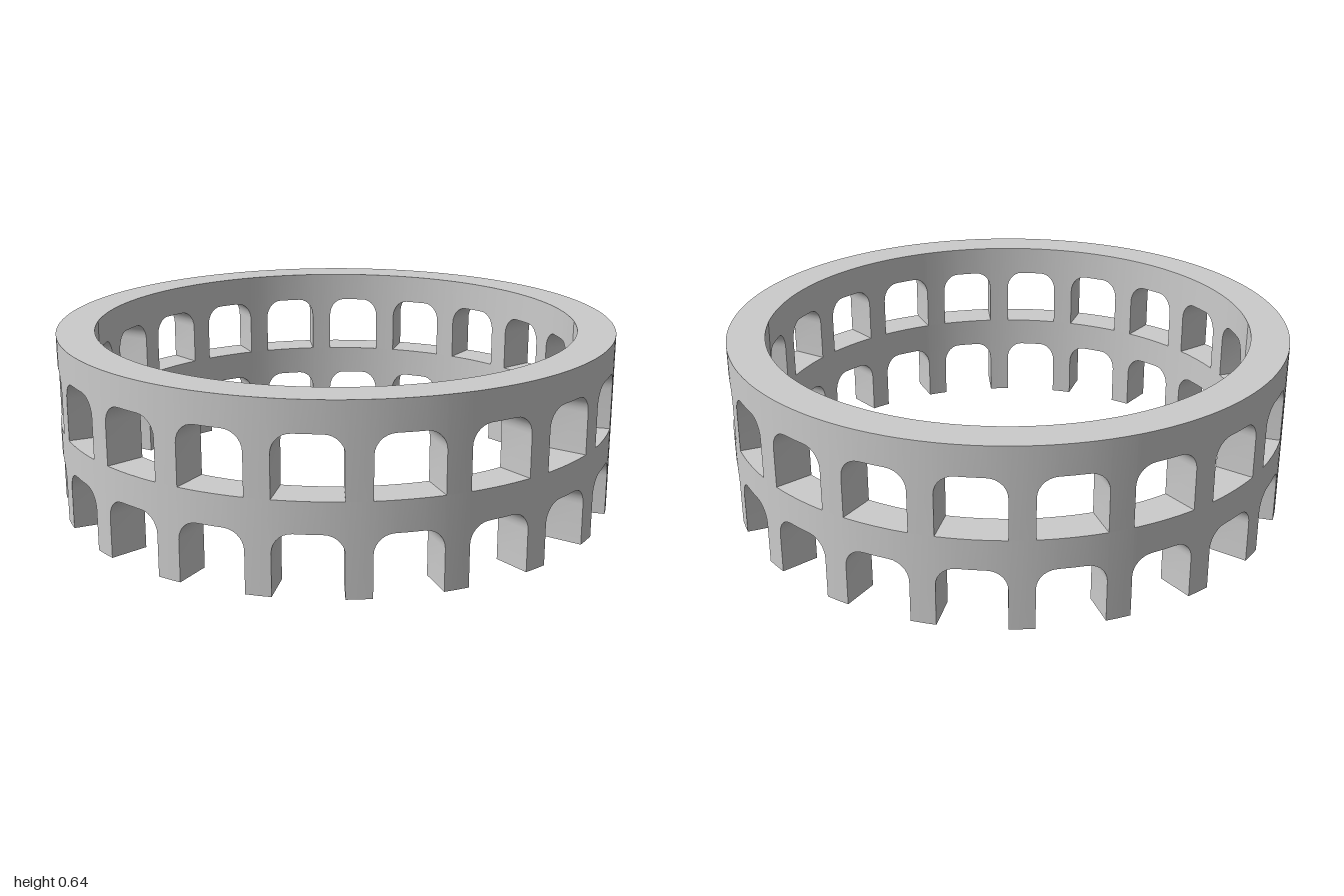
import * as THREE from 'three';
import { toCreasedNormals } from 'three/addons/utils/BufferGeometryUtils.js';

const OUTER = 1, INNER = 0.865;
const TIER = 0.32;            // height of one arcade tier
const OPENING = 0.213;        // height of each opening
const CORNER = 0.068;         // rounding of the opening's top corners
const BAYS = 20;
const BAY = (Math.PI * 2) / BAYS;
const HALF = THREE.MathUtils.degToRad(6.55);  // half the opening's angle
const OFFSET = THREE.MathUtils.degToRad(2.15);

// Underside of one bay as [angle, height]: half pier, jamb, arch, jamb, half pier
function bayProfile() {
  const left = [[-BAY / 2, 0], [-HALF, 0]];
  const steps = 7;
  for (let i = 0; i <= steps; i++) {
    const t = (i / steps) * Math.PI / 2;
    left.push([
      -HALF + CORNER * (1 - Math.cos(t)),
      OPENING - CORNER * (1 - Math.sin(t)),
    ]);
  }
  const right = left.map(([a, y]) => [-a, y]).reverse();
  return [...left, [0, OPENING], ...right];
}

// A ring with a flat top whose underside follows the repeated bay profile
function arcadeGeometry() {
  const positions = [];
  const point = (r, [a, y]) => [r * Math.sin(a), y, r * Math.cos(a)];
  const quad = (a, b, c, d) => positions.push(...a, ...b, ...c, ...a, ...c, ...d);
  const profile = bayProfile();

  for (let bay = 0; bay < BAYS; bay++) {
    const stations = profile.map(([a, y]) => [a + OFFSET + bay * BAY, y]);
    for (let i = 0; i < stations.length - 1; i++) {
      const a = stations[i], b = stations[i + 1];
      const aTop = [a[0], TIER], bTop = [b[0], TIER];
      // underside, jambs and arch
      quad(point(OUTER, a), point(INNER, a), point(INNER, b), point(OUTER, b));
      if (b[0] - a[0] < 1e-6) continue;
      // outer wall, inner wall, top
      quad(point(OUTER, a), point(OUTER, b), point(OUTER, bTop), point(OUTER, aTop));
      quad(point(INNER, b), point(INNER, a), point(INNER, aTop), point(INNER, bTop));
      quad(point(OUTER, aTop), point(OUTER, bTop), point(INNER, bTop), point(INNER, aTop));
    }
  }
  const geometry = new THREE.BufferGeometry();
  geometry.setAttribute('position', new THREE.Float32BufferAttribute(positions, 3));
  return toCreasedNormals(geometry, Math.PI / 6);
}

export function createModel() {
  const model = new THREE.Group();
  model.name = 'arcadeRing';
  const material = new THREE.MeshStandardMaterial({ color: 0xcccccc });
  const geometry = arcadeGeometry();

  // Two identical tiers stacked
  ['lowerArcade', 'upperArcade'].forEach((name, i) => {
    const tier = new THREE.Mesh(geometry, material);
    tier.name = name;
    tier.position.y = i * TIER;
    model.add(tier);
  });
  return model;
}
